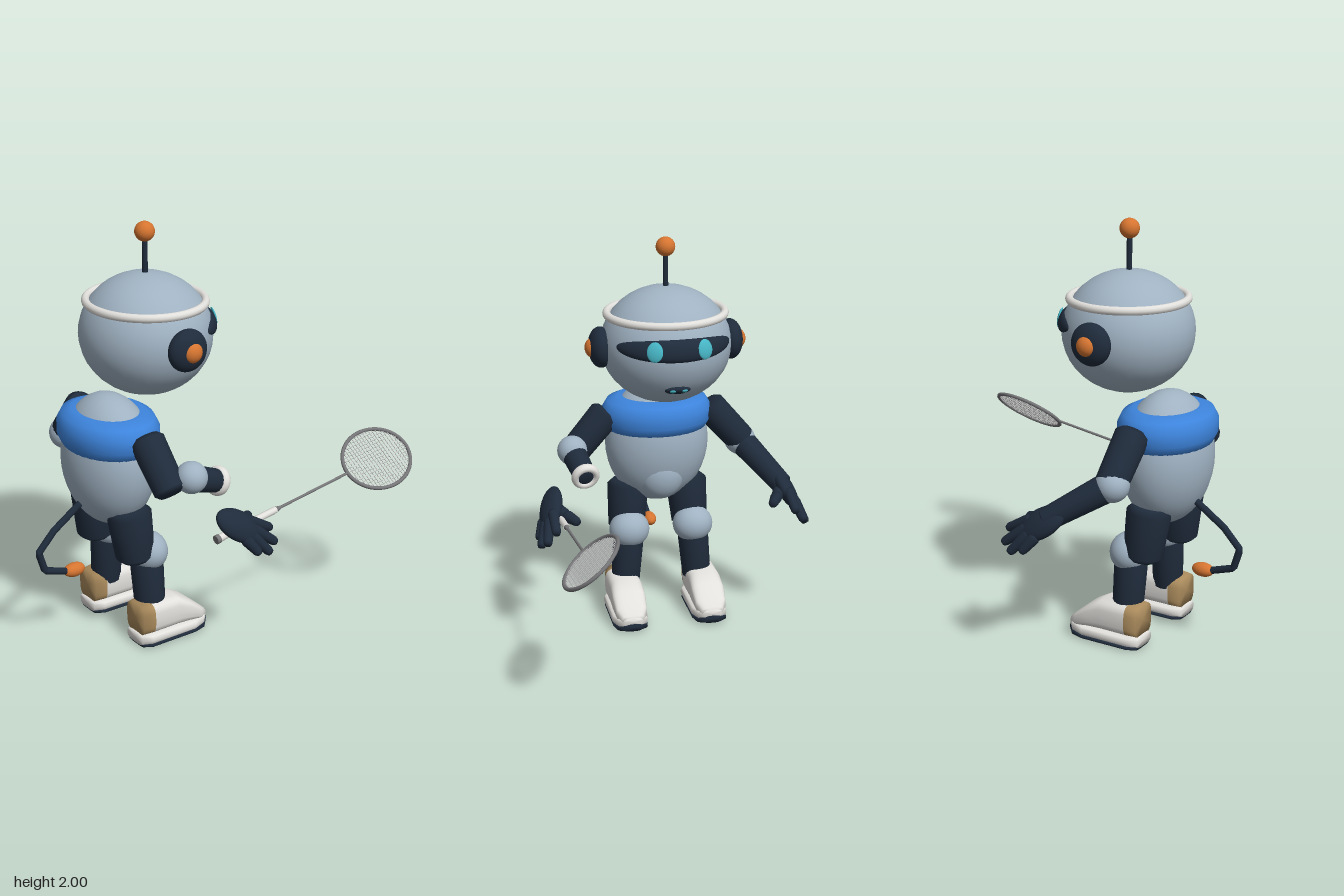
import * as THREE from 'three';

const mat = (name, color, side = THREE.FrontSide) => {
  const m = new THREE.MeshStandardMaterial({ color, side });
  m.name = name;
  return m;
};
const V = (x, y, z) => new THREE.Vector3(x, y, z);

export function createModel() {
  const shell = mat('greyBlueShell', 0xa0b2c2);
  const navy = mat('navy', 0x1f2b3b);
  const blue = mat('blue', 0x3d84dc);
  const orange = mat('orange', 0xd67531);
  const white = mat('white', 0xe2e0dc);
  const tan = mat('tan', 0xa98a5c);
  const cyan = mat('cyan', 0x48b8c8);
  const frameGrey = mat('racketGrey', 0x77777a);
  const stringGrey = mat('stringGrey', 0xc4c4c4);

  const model = new THREE.Group();
  model.name = 'robot';
  const add = (name, geo, material, parent = model) => {
    const m = new THREE.Mesh(geo, material);
    m.name = name;
    parent.add(m);
    return m;
  };
  const ball = (name, material, p, rx, ry = rx, rz = rx, parent = model) => {
    const m = add(name, new THREE.SphereGeometry(1, 32, 20), material, parent);
    m.position.set(...p);
    m.scale.set(rx, ry, rz);
    return m;
  };
  // Tapered limb with chamfered ends, from point a to point b
  const limb = (name, material, a, b, ra, rb, chamfer = 0.25) => {
    const from = V(...a), to = V(...b), L = from.distanceTo(to);
    const pts = [[0, 0], [ra * 0.75, 0], [ra, ra * chamfer], [rb, L - rb * chamfer], [rb * 0.75, L], [0, L]];
    const g = new THREE.LatheGeometry(pts.map(p => new THREE.Vector2(...p)), 18);
    const m = add(name, g, material);
    m.position.copy(from);
    m.quaternion.setFromUnitVectors(V(0, 1, 0), to.sub(from).normalize());
    return m;
  };
  // Skin over cross-sections [z, halfWidth, bottom, top], running towards -z
  const loft = (name, material, stations, x) => {
    const n = 24, pos = [], idx = [];
    const sq = v => Math.sign(v) * Math.abs(v) ** 0.6;
    stations.forEach(([z, w, y0, y1], i) => {
      for (let j = 0; j < n; j++) {
        const t = j / n * Math.PI * 2;
        pos.push(w * sq(Math.cos(t)), (y0 + y1) / 2 + (y1 - y0) / 2 * sq(Math.sin(t)), z);
        if (i) {
          const a = (i - 1) * n + j, b = (i - 1) * n + (j + 1) % n;
          idx.push(a, a + n, b, b, a + n, b + n);
        }
      }
    });
    const g = new THREE.BufferGeometry();
    g.setAttribute('position', new THREE.Float32BufferAttribute(pos, 3));
    g.setIndex(idx);
    g.computeVertexNormals();
    add(name, g, material).position.x = x;
  };

  // Head and antenna
  const HY = 1.475, HZ = 0.27;
  ball('head', shell, [0, HY, HZ], 0.322, 0.288, 0.31);
  const band = add('headBand', new THREE.TorusGeometry(0.288, 0.02, 12, 64), white);
  band.rotation.x = Math.PI / 2;
  band.scale.set(1, 0.94, 1);
  band.position.set(0, 1.63, HZ);
  limb('antennaStem', navy, [0, 1.72, HZ], [0, 1.95, HZ], 0.013, 0.013);
  ball('antennaBall', orange, [0, 1.953, HZ], 0.047);

  // Face pieces: spheres wrapped round the front of the head
  const facePatch = (name, material, a0, A, y0, H, base, t) => {
    const g = new THREE.SphereGeometry(1, 32, 20), p = g.attributes.position;
    for (let i = 0; i < p.count; i++) {
      const a = a0 - A * p.getX(i), y = y0 + H * p.getY(i);
      const R = Math.sqrt(1 - ((y - HY) / 0.288) ** 2) + base + t * p.getZ(i);
      p.setXYZ(i, R * 0.322 * Math.sin(a), y, HZ - R * 0.31 * Math.cos(a));
    }
    g.computeVertexNormals();
    add(name, g, material);
  };
  facePatch('visor', navy, 0, 1.05, 1.518, 0.054, 0, 0.075);
  facePatch('mouth', navy, 0, 0.24, 1.31, 0.022, 0, 0.085);
  for (const s of [-1, 1]) {
    facePatch('eye', cyan, s * 0.37, 0.115, 1.52, 0.048, 0.065, 0.028);
    facePatch('mouthLight', cyan, s * 0.1, 0.055, 1.312, 0.009, 0.07, 0.025);
    ball('ear', navy, [s * 0.325, HY, HZ], 0.06, 0.1, 0.1);
    ball('earButton', orange, [s * 0.36, HY, HZ], 0.042, 0.05, 0.05);
  }

  // Torso
  ball('torso', shell, [0, 0.9, 0.49], 0.267, 0.322, 0.207);
  ball('belly', shell, [0, 0.75, 0.385], 0.12, 0.135, 0.095);
  const chest = [[0.18, 0.975], [0.255, 0.975], [0.282, 1.02], [0.282, 1.08], [0.255, 1.125], [0.2, 1.147], [0.14, 1.14]];
  const chestBand = add('chestBand', new THREE.LatheGeometry(chest.map(p => new THREE.Vector2(...p)), 40), blue);
  chestBand.scale.z = 0.78;
  chestBand.position.z = 0.49;

  // Tail
  const tail = new THREE.CurvePath();
  const tp = [[0.56, 0.76], [0.63, 0.72], [0.8, 0.605], [0.885, 0.515], [0.855, 0.415], [0.74, 0.378]].map(([z, y]) => V(-0.005, y, z));
  for (let i = 1; i < tp.length; i++) tail.add(new THREE.LineCurve3(tp[i - 1], tp[i]));
  add('tail', new THREE.TubeGeometry(tail, 50, 0.017, 10), navy);
  ball('tailTip', orange, [-0.005, 0.373, 0.695], 0.035, 0.034, 0.056);

  // Legs and shoes
  for (const s of [-1, 1]) {
    limb('thigh', navy, [s * 0.152, 0.695, 0.487], [s * 0.17, 0.43, 0.46], 0.107, 0.094);
    ball('knee', shell, [s * 0.168, 0.455, 0.39], 0.104, 0.096, 0.092);
    limb('shin', navy, [s * 0.17, 0.42, 0.4], [s * 0.192, 0.15, 0.395], 0.08, 0.074);
    const x = s * 0.208;
    loft('shoeHeel', tan, [[0.492, 0, 0.14, 0.14], [0.491, 0.074, 0.06, 0.218], [0.432, 0.085, 0.06, 0.221]], x);
    loft('shoeUpper', white, [[0.432, 0.085, 0.06, 0.221], [0.29, 0.086, 0.06, 0.219], [0.22, 0.088, 0.06, 0.18],
      [0.155, 0.08, 0.05, 0.125], [0.117, 0.055, 0.05, 0.092], [0.11, 0, 0.07, 0.07]], x);
    loft('shoeSole', white, [[0.498, 0, 0.04, 0.04], [0.497, 0.065, 0.012, 0.07], [0.45, 0.089, 0.012, 0.07],
      [0.2, 0.093, 0.012, 0.07], [0.14, 0.078, 0.02, 0.078], [0.108, 0.042, 0.03, 0.08], [0.105, 0, 0.06, 0.06]], x);
    loft('outsole', navy, [[0.49, 0, 0.01, 0.01], [0.489, 0.06, 0, 0.02], [0.45, 0.085, 0, 0.02],
      [0.2, 0.09, 0, 0.02], [0.14, 0.079, 0, 0.035], [0.106, 0.043, 0.01, 0.05], [0.102, 0, 0.03, 0.03]], x);
  }

  // Arms: the left one is bent forward, the right one hangs out
  for (const s of [-1, 1]) limb('upperArm', navy, [s * 0.26, 1.08, 0.46], [s * 0.45, 0.865, 0.45], 0.082, 0.076);
  ball('rightElbow', shell, [-0.435, 0.875, 0.455], 0.08);
  limb('rightForearm', navy, [-0.45, 0.86, 0.43], [-0.595, 0.7, 0.19], 0.068, 0.055);
  ball('leftElbow', shell, [0.462, 0.925, 0.35], 0.075);
  limb('leftForearm', navy, [0.455, 0.91, 0.33], [0.428, 0.845, 0.16], 0.062, 0.055);
  const cuff = add('wristBand', new THREE.TorusGeometry(0.052, 0.019, 12, 32), white);
  cuff.position.set(0.428, 0.85, 0.175);
  cuff.lookAt(0.44, 0.89, 0.29);
  cuff.scale.z = 1.3;

  // Hands, mirrored
  for (const s of [-1, 1]) {
    const long = V(s * 0.05, -0.13, -0.2).normalize();
    const flat = long.clone().cross(V(s * -0.065, 0.06, -0.13)).normalize();
    const wide = long.clone().cross(flat);
    const palm = ball('palm', navy, [s * 0.602, 0.69, 0.185], 0.075, 0.13, 0.042);
    palm.quaternion.setFromRotationMatrix(new THREE.Matrix4().makeBasis(wide, long, flat));
    const fingers = [[0.6, 0.7, 0.13, 0.605, 0.63, 0.0], [0.62, 0.665, 0.12, 0.65, 0.575, 0.005],
      [0.635, 0.645, 0.14, 0.675, 0.545, 0.055], [0.64, 0.64, 0.18, 0.675, 0.56, 0.12]];
    for (const [ax, ay, az, bx, by, bz] of fingers) {
      limb('finger', navy, [s * ax, ay, az], [s * bx, by, bz], 0.028, 0.022, 0.6);
    }
    limb('thumb', navy, [s * 0.585, 0.69, 0.2], [s * 0.535, 0.675, 0.11], 0.034, 0.03, 0.6);
    limb('thumbTip', navy, [s * 0.54, 0.676, 0.12], [s * 0.492, 0.665, 0.04], 0.03, 0.023, 0.6);
  }

  // Racket, built along its own y axis from the butt of the grip
  const racket = new THREE.Group();
  racket.name = 'racket';
  model.add(racket);
  const axis = V(-0.003, 0.15, -0.985).normalize();
  const normal = V(0.125, -0.105, 0).cross(axis).normalize();
  racket.quaternion.setFromRotationMatrix(new THREE.Matrix4().makeBasis(axis.clone().cross(normal), axis, normal));
  racket.position.set(0.567, 0.635, 0.29);
  const rod = (name, material, y0, y1, r0, r1 = r0) => {
    add(name, new THREE.CylinderGeometry(r1, r0, y1 - y0, 14), material, racket).position.y = (y0 + y1) / 2;
  };
  rod('gripButt', frameGrey, 0, 0.02, 0.021);
  rod('grip', white, 0.02, 0.355, 0.018, 0.016);
  rod('gripCollar', frameGrey, 0.355, 0.385, 0.014, 0.008);
  rod('shaft', frameGrey, 0.38, 0.81, 0.0065);
  const A = 0.156, B = 0.19, C = 0.997;
  const oval = new THREE.EllipseCurve(0, 0, A, B).getPoints(64).slice(0, 64).map(p => V(p.x, p.y + C, 0));
  add('racketFrame', new THREE.TubeGeometry(new THREE.CatmullRomCurve3(oval, true), 72, 0.0095, 8, true), frameGrey, racket);
  const strand = (x, y, w, h) => {
    add('string', new THREE.BoxGeometry(w, h, 0.003), stringGrey, racket).position.set(x, C + y, 0);
  };
  for (let i = -8; i <= 8; i++) {
    const x = i * 0.018;
    strand(x, 0, 0.0035, 2 * B * Math.sqrt(1 - (x / A) ** 2));
  }
  for (let i = -10; i <= 10; i++) {
    const y = i * 0.018;
    strand(0, y, 2 * A * Math.sqrt(1 - (y / B) ** 2), 0.0035);
  }
  return model;
}
